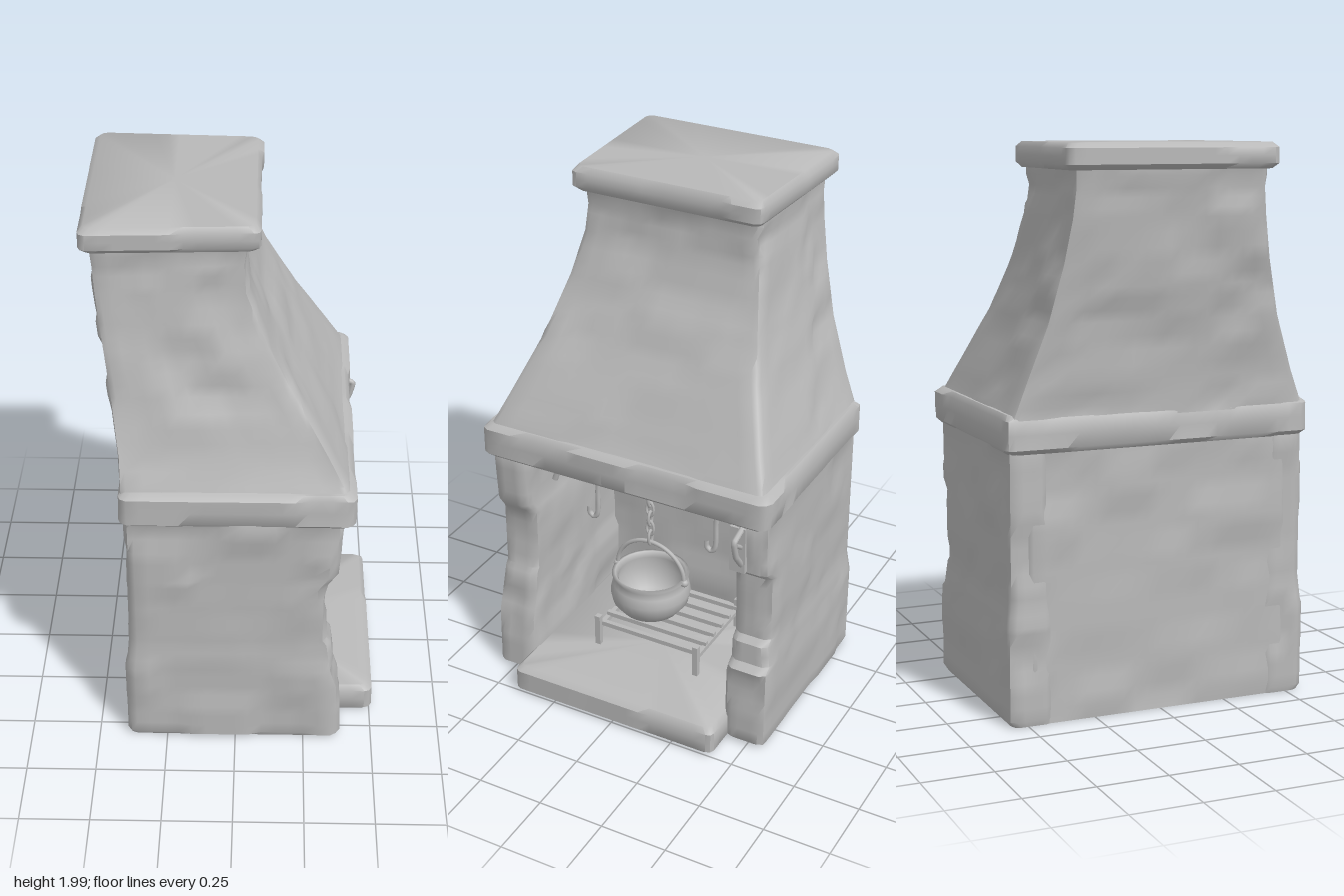
import * as THREE from 'three';
import { toCreasedNormals, mergeGeometries } from 'three/addons/utils/BufferGeometryUtils.js';

const grey = new THREE.MeshStandardMaterial({ color: 0xb8b8b8 });
grey.name = 'stone grey';
const greyOpen = new THREE.MeshStandardMaterial({ color: 0xb8b8b8, side: THREE.DoubleSide });
greyOpen.name = 'stone grey';

const hash = (a, b, c) => {
  const s = Math.sin(a * 12.99 + b * 78.23 + c * 37.72) * 43758.5453;
  return s - Math.floor(s);
};
const lerp = THREE.MathUtils.lerp;

// Lofted masonry block. Sections are [y, x0, x1, z0, z1, taper];
// taper narrows the +x end. Each brick is pushed in or out a little.
function stone(sections, { r = 0.025, brick = 0.2, course = 0.1, amp = 0.008, seed = 1 } = {}) {
  const rows = [];
  sections.forEach((s, i) => {
    if (i === 0) return rows.push(s);
    const p = sections[i - 1];
    const n = Math.max(1, Math.ceil((s[0] - p[0]) / 0.05));
    for (let k = 1; k <= n; k++) rows.push(s.map((v, j) => lerp(p[j], v, k / n)));
  });
  const mid = sections[Math.floor(sections.length / 2)];
  const counts = [0, 1].map((i) => Math.max(2, Math.ceil((i ? mid[2] - mid[1] : mid[4] - mid[3]) / 0.05)));
  const pos = [], idx = [];
  let per = 0;
  rows.forEach(([y, x0, x1, z0, z1, tp], ri) => {
    const C = [[x1, z1 - tp], [x1, z0 + tp], [x0, z0], [x0, z1]];
    const edge = ri === 0 || ri === rows.length - 1;
    for (let s = 0; s < 4; s++) {
      const A = C[s], B = C[(s + 1) % 4], P = C[(s + 3) % 4];
      const len = Math.hypot(B[0] - A[0], B[1] - A[1]);
      const plen = Math.hypot(P[0] - A[0], P[1] - A[1]);
      // Rounded corner
      const q = [0, 1].map((j) => A[j] + 0.293 * r * ((B[j] - A[j]) / len + (P[j] - A[j]) / plen));
      pos.push(q[0], y, q[1]);
      // Face with alternating brick courses
      const n = counts[s % 2];
      const nx = -(B[1] - A[1]) / len, nz = (B[0] - A[0]) / len;
      for (let k = 0; k <= n; k++) {
        const t = lerp(r / len, 1 - r / len, k / n);
        const row = Math.floor(y / course);
        const col = Math.floor((t * len) / brick + (row % 2) * 0.5);
        const d = edge ? 0 : amp * (hash(row, col, s + seed) * 2 - 1.2);
        pos.push(lerp(A[0], B[0], t) + nx * d, y, lerp(A[1], B[1], t) + nz * d);
      }
    }
    if (ri === 0) per = pos.length / 3;
  });
  for (let j = 0; j < rows.length - 1; j++) {
    for (let i = 0; i < per; i++) {
      const a = j * per + i, b = j * per + ((i + 1) % per);
      idx.push(a, b, b + per, a, b + per, a + per);
    }
  }
  // Flat ends
  [0, rows.length - 1].forEach((j) => {
    const [y, x0, x1, z0, z1] = rows[j];
    const c = pos.length / 3;
    pos.push((x0 + x1) / 2, y, (z0 + z1) / 2);
    for (let i = 0; i < per; i++) {
      const a = j * per + i, b = j * per + ((i + 1) % per);
      if (j) idx.push(c, a, b); else idx.push(c, b, a);
    }
  });
  const g = new THREE.BufferGeometry();
  g.setAttribute('position', new THREE.Float32BufferAttribute(pos, 3));
  g.setIndex(idx);
  return toCreasedNormals(g, 0.8);
}

// Block with softened top and bottom edges
function slab(x0, x1, y0, y1, z0, z1, taper, opts) {
  const b = 0.018, f = (y, i) => [y, x0 + i, x1 - i, z0 + i, z1 - i, taper];
  return stone([f(y0, b), f(y0 + b, 0), f(y1 - b, 0), f(y1, b)], opts);
}

function tube(points, radius, closed = false, tension = 0.5) {
  const curve = new THREE.CatmullRomCurve3(points.map((p) => new THREE.Vector3(...p)), closed, 'catmullrom', tension);
  return new THREE.TubeGeometry(curve, points.length * 6, radius, 8, closed);
}
const rod = (a, b, radius) => tube([a, b], radius);
const box = (w, h, d, x, y, z) => new THREE.BoxGeometry(w, h, d).translate(x, y, z);

export function createModel() {
  const root = new THREE.Group();
  const add = (name, geo, mat = grey) => {
    const m = new THREE.Mesh(geo, mat);
    m.name = name;
    root.add(m);
    return m;
  };

  // Side walls, with jamb stones stepping in and out at the front
  [1, -1].forEach((side) => {
    const fronts = side > 0
      ? [[0.01, 0.36], [0.03, 0.38], [0.25, 0.375], [0.33, 0.35], [0.44, 0.335], [0.46, 0.32], [0.7, 0.32], [0.75, 0.355], [0.95, 0.37], [0.98, 0.36]]
      : [[0.01, 0.36], [0.03, 0.38], [0.34, 0.375], [0.36, 0.345], [0.44, 0.34], [0.46, 0.315], [0.72, 0.32], [0.76, 0.365], [0.95, 0.37], [0.98, 0.36]];
    const sections = fronts.map(([y, x]) => {
      const o = y < 0.02 ? 0.555 : y < 0.4 ? 0.572 : 0.562;
      const i = y > 0.74 ? 0.415 : 0.405;
      return [y, y < 0.4 ? -0.39 : -0.38, x, side > 0 ? i : -o, side > 0 ? o : -i, 0];
    });
    add(side > 0 ? 'leftWall' : 'rightWall', stone(sections, { brick: 0.22, course: 0.17, amp: 0.01, seed: side + 3, r: 0.03 }));
  });
  add('backWall', stone([[0.01, -0.385, -0.25, -0.5, 0.5, 0], [0.98, -0.378, -0.25, -0.5, 0.5, 0]], { course: 0.15, amp: 0.008, seed: 5 }));

  // Hearth: slab in front and floor inside
  add('hearth', slab(-0.3, 0.505, 0.01, 0.125, -0.42, 0.42, 0, { brick: 0.28, course: 0.2, amp: 0.004 }));

  // Mantel ledge, tapering hood and chimney cap
  add('mantel', slab(-0.4, 0.412, 0.96, 1.095, -0.572, 0.572, 0, { brick: 0.25, course: 0.2, amp: 0.006, r: 0.03 }));
  const hood = [
    [1.07, -0.395, 0.4, 0.555, 0.0], [1.2, -0.4, 0.327, 0.507, 0.005],
    [1.4, -0.425, 0.207, 0.437, 0.01], [1.6, -0.452, 0.1, 0.39, 0.015],
    [1.75, -0.47, 0.04, 0.365, 0.018], [1.85, -0.477, 0.034, 0.355, 0.02], [1.93, -0.485, 0.045, 0.358, 0.02],
  ].map(([y, x0, x1, z, t]) => [y, x0, x1, -z, z, t]);
  add('hood', stone(hood, { brick: 0.17, course: 0.105, amp: 0.009, seed: 9 }));
  add('chimneyCap', slab(-0.51, 0.083, 1.91, 2.0, -0.392, 0.392, 0.025, { brick: 0.3, course: 0.3, amp: 0.005 }));

  // Cooking rail with curved end braces
  const X = 0.19;
  add('rail', rod([X, 0.895, -0.42], [X, 0.895, 0.42], 0.016));
  [1, -1].forEach((s) => add('railBrace',
    tube([[X, 0.89, s * 0.29], [X, 0.875, s * 0.35], [X, 0.84, s * 0.385], [X, 0.79, s * 0.405]], 0.012)));

  // Hanging hooks
  [[0.22, 1], [-0.27, 1]].forEach(([z, d]) => {
    add('hook', tube([[X, 0.9, z - 0.01], [X, 0.8, z], [X, 0.73, z], [X, 0.69, z + d * 0.005],
      [X, 0.675, z + d * 0.02], [X, 0.69, z + d * 0.037], [X, 0.715, z + d * 0.038]], 0.01));
    add('hookLoop', new THREE.TorusGeometry(0.024, 0.008, 8, 16).rotateY(Math.PI / 2).rotateY(Math.PI / 2).translate(X, 0.895, z - 0.008));
  });

  // Chain of alternating links
  const links = [];
  for (let i = 0; i < 7; i++) {
    links.push(new THREE.TorusGeometry(0.02, 0.006, 6, 12).scale(0.75, 1.4, 1)
      .rotateY(i % 2 ? Math.PI / 2 : 0).translate(X, 0.9 - i * 0.041, 0));
  }
  add('chain', mergeGeometries(links));

  // Cauldron: open bowl, rim and handle
  const bowl = [[0, 0.32], [0.06, 0.325], [0.11, 0.35], [0.142, 0.39], [0.15, 0.43], [0.142, 0.465], [0.132, 0.485],
    [0.145, 0.503], [0.132, 0.506], [0.12, 0.485], [0.135, 0.43], [0.1, 0.36], [0, 0.335]];
  add('cauldron', new THREE.LatheGeometry(bowl.map((p) => new THREE.Vector2(...p)), 28).translate(X, 0, 0), greyOpen);
  const handle = [];
  for (let i = 0; i <= 8; i++) {
    const a = (i / 8) * Math.PI;
    handle.push([X, 0.495 + Math.sin(a) * 0.14, Math.cos(a) * 0.142]);
  }
  add('cauldronHandle', tube(handle, 0.008));
  [1, -1].forEach((s) => add('handleEar', new THREE.SphereGeometry(0.015, 10, 8).translate(X, 0.495, s * 0.142)));

  // Fire grate: bars, side rails and legs
  const grate = [];
  for (let i = 0; i < 6; i++) grate.push(box(0.018, 0.018, 0.43, 0.21 - i * 0.065, 0.215, 0));
  [1, -1].forEach((s) => {
    grate.push(box(0.37, 0.018, 0.018, 0.05, 0.2, s * 0.208));
    grate.push(box(0.022, 0.13, 0.022, 0.225, 0.187, s * 0.21));
    grate.push(box(0.022, 0.13, 0.022, -0.125, 0.187, s * 0.21));
  });
  add('grate', mergeGeometries(grate));

  // Iron bracket on the right jamb
  const z = -0.463;
  add('jambBracket', tube([[0.365, 0.945, z], [0.39, 0.935, z], [0.437, 0.918, z], [0.43, 0.88, z],
    [0.42, 0.85, z], [0.39, 0.81, z], [0.365, 0.78, z]], 0.011, false, 0.2));
  add('bracketBar', rod([0.37, 0.86, z], [0.425, 0.9, z], 0.008));
  add('bracketPlate', box(0.03, 0.18, 0.06, 0.37, 0.855, -0.45));

  return root;
}
